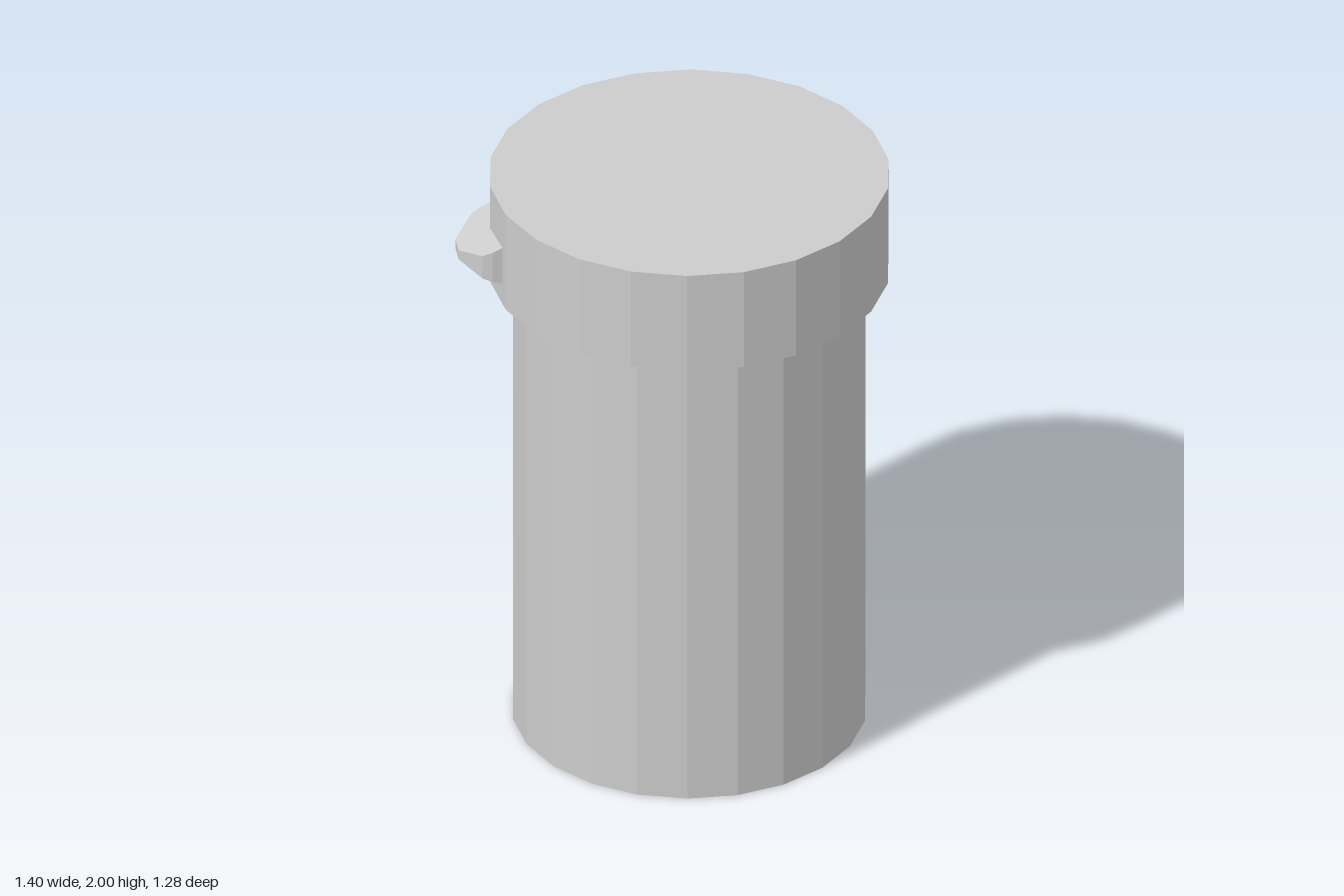
import * as THREE from 'three';

const SIDES = 22;
const AXIS_X = 0.052;

export function createModel() {
  const model = new THREE.Group();
  const grey = new THREE.MeshStandardMaterial({ color: 0xcccccc, flatShading: true });
  grey.name = 'light grey';

  const add = (name, geometry) => {
    const mesh = new THREE.Mesh(geometry, grey);
    mesh.name = name;
    model.add(mesh);
  };

  // Faceted drum with a corner on the x axis
  const drum = (radius, bottom, top) =>
    new THREE.CylinderGeometry(radius, radius, top - bottom, SIDES, 1, false, Math.PI / 2)
      .translate(AXIS_X, (bottom + top) / 2, 0);

  add('body', drum(0.57, 0, 1.66));
  add('lid', drum(0.645, 1.645, 2));

  // Thumb tab: plan outline extruded upwards, then thinned towards its tip
  const half = [[-0.5, 0.145], [-0.605, 0.145], [-0.635, 0.135], [-0.7, 0.035]];
  const outline = [...half, ...half.map(([x, z]) => [x, -z]).reverse()];
  const shape = new THREE.Shape(outline.map(([x, z]) => new THREE.Vector2(x, z)));
  const tab = new THREE.ExtrudeGeometry(shape, { depth: 1, bevelEnabled: false });
  tab.rotateX(-Math.PI / 2);
  const p = tab.attributes.position;
  for (let i = 0; i < p.count; i++) {
    const run = p.getX(i) + 0.7;
    p.setY(i, p.getY(i) > 0.5 ? 1.79 + 0.5 * run : 1.757 - 0.285 * run);
  }
  tab.computeVertexNormals();
  add('thumbTab', tab);

  return model;
}
